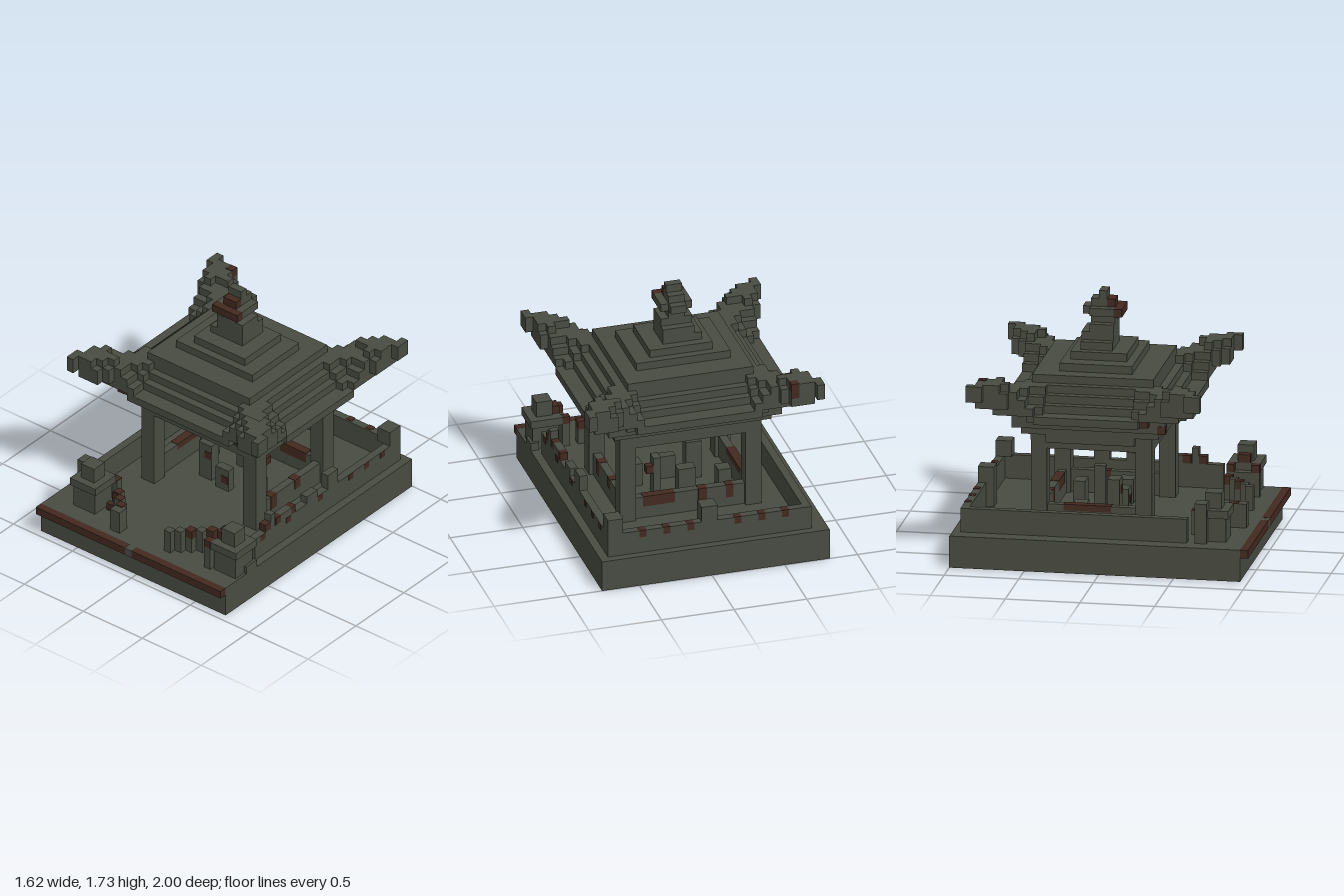
import * as THREE from 'three';
import { mergeGeometries } from 'three/addons/utils/BufferGeometryUtils.js';

const U = 2 / 37;      // size of one block
const ZC = -2 * U;     // middle of the pavilion

export function createModel() {
  const model = new THREE.Group();
  const stone = new THREE.MeshStandardMaterial({ color: 0x494c42 });
  stone.name = 'grey stone';
  const rust = new THREE.MeshStandardMaterial({ color: 0x432a21 });
  rust.name = 'rust brown';

  const block = (x0, x1, y0, y1, z0, z1) =>
    new THREE.BoxGeometry(x1 - x0, y1 - y0, z1 - z0)
      .translate((x0 + x1) / 2, (y0 + y1) / 2, (z0 + z1) / 2);
  // each box is [x0, x1, y0, y1, z0, z1]
  const add = (name, material, boxes) => {
    const mesh = new THREE.Mesh(mergeGeometries(boxes.map(b => block(...b))), material);
    mesh.name = name;
    model.add(mesh);
  };

  // plinth with a painted front ledge, broken at the middle
  add('plinth', stone, [[-0.81, 0.757, 0, 0.216, -1, 0.946]]);
  add('frontLedge', rust, [[-0.81, -0.055, 0.162, 0.217, 0.946, 1], [0, 0.757, 0.162, 0.217, 0.946, 1]]);
  add('ledgeGap', stone, [[-0.055, 0, 0.162, 0.216, 0.946, 1]]);

  // low courtyard walls
  add('courtyardWall', stone, [
    [-0.70, 0.70, 0.216, 0.378, -0.946, -0.892],
    [-0.70, -0.646, 0.216, 0.378, -0.892, 0.57],
    [0.646, 0.70, 0.216, 0.378, -0.892, 0.57],
  ]);
  add('wallPosts', stone, [
    [0.595, 0.70, 0.378, 0.486, -0.946, -0.838],
    [-0.055, 0.055, 0.216, 0.486, -0.946, -0.838],
    [0.646, 0.70, 0.378, 0.486, -0.297, -0.19],
    [0.646, 0.70, 0.378, 0.432, -0.08, 0.027],
    [0.646, 0.70, 0.378, 0.432, 0.19, 0.297],
    [0.646, 0.70, 0.378, 0.486, 0.36, 0.405],
    [0.70, 0.757, 0.216, 0.27, 0.62, 0.73],
  ]);
  add('rustyPosts', rust, [
    [0.646, 0.70, 0.378, 0.432, 0.405, 0.46],
    [0.646, 0.70, 0.378, 0.432, 0.297, 0.351],
    [0.646, 0.70, 0.378, 0.432, 0.145, 0.19],
  ]);

  // stains running down from the wall tops
  const stains = [];
  for (const x of [-0.52, -0.36, -0.195, 0.13, 0.295, 0.46])
    stains.push([x - 0.024, x + 0.024, 0.33, 0.381, -0.949, -0.905]);
  for (const z of [0.49, 0.22, -0.11, -0.43, -0.59, -0.76])
    stains.push([0.698, 0.703, 0.335, 0.378, z - 0.024, z + 0.024]);
  stains.push([-0.483, -0.435, 0.115, 0.162, 0.94, 0.949]);
  add('wallStains', rust, stains);

  // two stone lanterns by the entrance
  const lantern = (name, x) => add(name, stone, [
    [x - 0.09, x + 0.09, 0.216, 0.378, 0.64, 0.82],
    [x - 0.108, x + 0.108, 0.378, 0.432, 0.62, 0.838],
    [x - 0.055, x + 0.055, 0.432, 0.54, 0.675, 0.785],
  ]);
  lantern('leftLantern', 0.648);
  lantern('rightLantern', -0.545);
  add('rightLanternSide', stone, [[-0.70, -0.60, 0.216, 0.486, 0.62, 0.70]]);

  // curved rows of stepping blocks beside the lanterns
  const steps = [], stepStains = [];
  for (let i = 0; i < 5; i++) {
    const x = -0.46 + i * U, z = 0.59 + i * U, h = i === 1 ? 0.27 : 0.378;
    steps.push([x - 0.027, x + 0.027, 0.216, h, z - 0.027, z + 0.027]);
    stepStains.push([x - 0.027, x + 0.027, h, h + 0.006, z - 0.027, z + 0.027]);
    const lx = 0.405 - i * U, lz = 0.65 + i * 0.045;
    steps.push([lx - 0.027, lx + 0.027, 0.216, 0.378, lz - 0.027, lz + 0.027]);
    if (i % 2 === 0 && i < 4) stepStains.push([lx - 0.028, lx + 0.028, 0.324, 0.382, lz - 0.028, lz + 0.028]);
  }
  steps.push([0.486, 0.54, 0.216, 0.38, 0.62, 0.84], [-0.27, -0.19, 0.216, 0.378, 0.81, 0.89]);
  stepStains.push(
    [0.486, 0.54, 0.38, 0.432, 0.62, 0.67], [0.486, 0.54, 0.38, 0.432, 0.785, 0.84],
    [0.54, 0.593, 0.432, 0.486, 0.69, 0.77],
    [-0.433, -0.325, 0.217, 0.27, 0.69, 0.728], [-0.379, -0.325, 0.324, 0.378, 0.69, 0.728]);
  add('steppingBlocks', stone, steps);
  add('steppingBlockStains', rust, stepStains);

  // low parapet panels between the pillars on three sides, with rust stains
  add('parapets', stone, [
    [-0.378, 0.378, 0.216, 0.37, -0.486, -0.432],
    [-0.459, -0.405, 0.216, 0.37, -0.405, 0.19],
    [0.405, 0.459, 0.216, 0.37, -0.405, 0.19],
  ]);
  add('parapetStains', rust, [
    [0.1, 0.32, 0.30, 0.373, -0.489, -0.43], [-0.12, -0.06, 0.25, 0.373, -0.489, -0.43],
    [-0.3, -0.25, 0.28, 0.373, -0.489, -0.43],
    [-0.462, -0.403, 0.33, 0.373, -0.3, 0.02],
    [0.403, 0.462, 0.30, 0.373, -0.2, -0.14], [0.403, 0.462, 0.27, 0.373, 0.05, 0.11],
  ]);

  // small standing stones on the pavilion floor
  add('standingStones', stone, [
    [-0.216, -0.108, 0.216, 0.486, -0.05, 0.03],
    [0.108, 0.162, 0.216, 0.486, -0.2, -0.12],
    [-0.05, 0.06, 0.216, 0.378, 0, 0.06],
    [0.19, 0.30, 0.216, 0.378, -0.05, 0.05],
    [-0.36, -0.27, 0.216, 0.36, -0.25, -0.16],
    [-0.10, 0.02, 0.216, 0.432, -0.3, -0.22],
  ]);
  add('standingStoneStains', rust, [
    [-0.162, -0.108, 0.38, 0.432, 0.03, 0.035],
    [0, 0.055, 0.27, 0.324, 0.06, 0.065],
    [0.162, 0.21, 0.378, 0.432, -0.2, -0.15],
  ]);

  // four pillars under a ring of beams
  const pillars = [];
  for (const x of [-0.432, 0.432]) for (const z of [-0.351, 0.351])
    pillars.push([x - 0.054, x + 0.054, 0.216, 0.76, ZC + z - 0.054, ZC + z + 0.054]);
  add('pillars', stone, pillars);
  add('beams', stone, [
    [-0.486, 0.486, 0.757, 0.811, ZC + 0.297, ZC + 0.405],
    [-0.486, 0.486, 0.757, 0.811, ZC - 0.405, ZC - 0.297],
    [-0.486, -0.378, 0.757, 0.811, ZC - 0.297, ZC + 0.297],
    [0.378, 0.486, 0.757, 0.811, ZC - 0.297, ZC + 0.297],
    [-0.54, -0.486, 0.811, 0.865, ZC - 0.297, ZC + 0.297],
  ]);

  // stepped hip roof: every column has a top and a bottom from its distance to the middle
  const at = (table, d) => table.find(([limit]) => d < limit)[1];
  const tops = [[0.24, 25], [0.324, 24], [0.45, 23], [0.486, 22], [0.54, 21], [0.595, 20], [9, 19]];
  const hips = [[0.24, 25], [0.324, 24], [0.45, 23], [0.65, 22], [9, 23]];
  const bottoms = [[0.486, 15], [0.54, 16], [0.595, 17], [0.70, 18], [0.757, 19], [9, 21]];
  const column = (i, j) => {
    const a = Math.abs(i + 0.5) * U, bz = Math.abs(j) * U;
    const b = bz + (bz < 0.68 ? 0.07 : 0.03);
    const d = Math.max(a, b), m = Math.min(a, b), c = m / d;
    if (d > 0.68 + 0.15 * c ** 5) return null;
    const lift = THREE.MathUtils.smoothstep(c, 0.5, 0.95);
    const top = Math.round(THREE.MathUtils.lerp(at(tops, d), at(hips, d), lift));
    // the eaves turn up towards the corners
    const raised = d > 0.595 && d + m > 1.08 ? 1 : 0;
    return [Math.min(at(bottoms, d) + raised, 21, top - 1), top];
  };
  const roof = [];
  for (let j = -14; j <= 14; j++) {
    let run = null;
    for (let i = -15; i < 15; i++) {
      const c = column(i, j);
      if (c && run && run[2] === c[0] * U && run[3] === c[1] * U) run[1] = (i + 1) * U;
      else if (c) roof.push(run = [i * U, (i + 1) * U, c[0] * U, c[1] * U, ZC + (j - 0.5) * U, ZC + (j + 0.5) * U]);
      else run = null;
    }
  }
  add('roof', stone, roof);
  add('eaveStains', rust, [
    [-0.27, -0.216, 0.92, 0.973, 0.36, 0.408],
    [-0.652, -0.595, 0.971, 1.028, 0.243, 0.30],
    [-0.597, -0.54, 0.918, 0.973, 0.351, 0.408],
    [0.486, 0.543, 0.863, 0.92, 0.297, 0.354],
    [0.595, 0.652, 0.971, 1.028, 0.243, 0.30],
    [-0.65, -0.595, 1.14, 1.247, -0.838, -0.784],
  ]);

  // finial on the ridge
  add('finial', stone, [
    [-0.162, 0.108, 1.34, 1.405, -0.24, -0.027],
    [-0.108, 0.108, 1.40, 1.46, -0.243, -0.027],
    [-0.108, 0.108, 1.46, 1.513, -0.19, -0.027],
    [-0.054, 0.054, 1.513, 1.57, -0.19, -0.027],
    [-0.108, 0.108, 1.567, 1.621, -0.19, -0.027],
    [-0.054, 0.054, 1.567, 1.621, -0.243, -0.19],
    [-0.054, 0.054, 1.621, 1.675, -0.19, -0.081],
    [-0.054, 0.054, 1.675, 1.73, -0.135, -0.081],
  ]);
  add('finialTrim', rust, [
    [-0.108, 0.108, 1.567, 1.621, -0.027, 0.027],
    [-0.054, 0.054, 1.621, 1.675, -0.081, -0.027],
  ]);
  return model;
}
